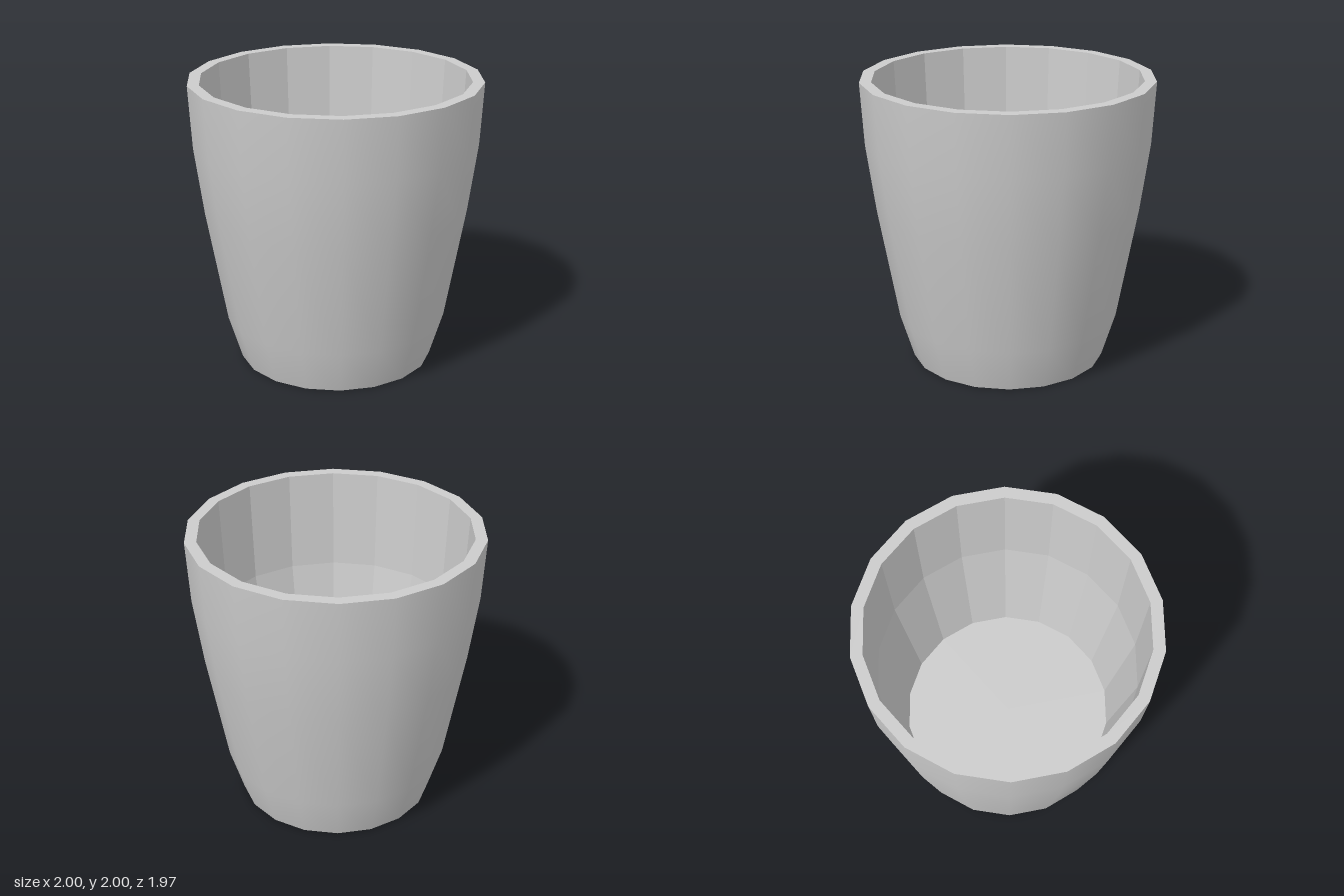
import * as THREE from 'three';

const SIDES = 18;
const FLOOR_Y = 0.45;

// Revolve a profile of [radius, height] pairs, with a corner on the x axis
function turned(name, profile, flatShading = false) {
  const points = profile.map(([r, y]) => new THREE.Vector2(r, y));
  const geometry = new THREE.LatheGeometry(points, SIDES, Math.PI / 2);
  const material = new THREE.MeshStandardMaterial({ color: 0xcccccc, flatShading });
  const mesh = new THREE.Mesh(geometry, material);
  mesh.name = name;
  return mesh;
}

export function createModel() {
  const cup = new THREE.Group();
  cup.name = 'cup';

  // The profile runs from the base up the outside, over the rim and down the inside
  cup.add(
    turned('base', [[0, 0], [0.675, 0]], true),
    turned('outerWall', [[0.675, 0], [0.77, 0.31], [0.91, 1.1], [0.975, 1.57], [1, 2]]),
    turned('rim', [[1, 2], [0.92, 2]], true),
    turned('innerWall', [[0.92, 2], [0.885, 1.3], [0.73, FLOOR_Y]], true),
    turned('innerFloor', [[0.73, FLOOR_Y], [0, FLOOR_Y]], true),
  );
  return cup;
}
